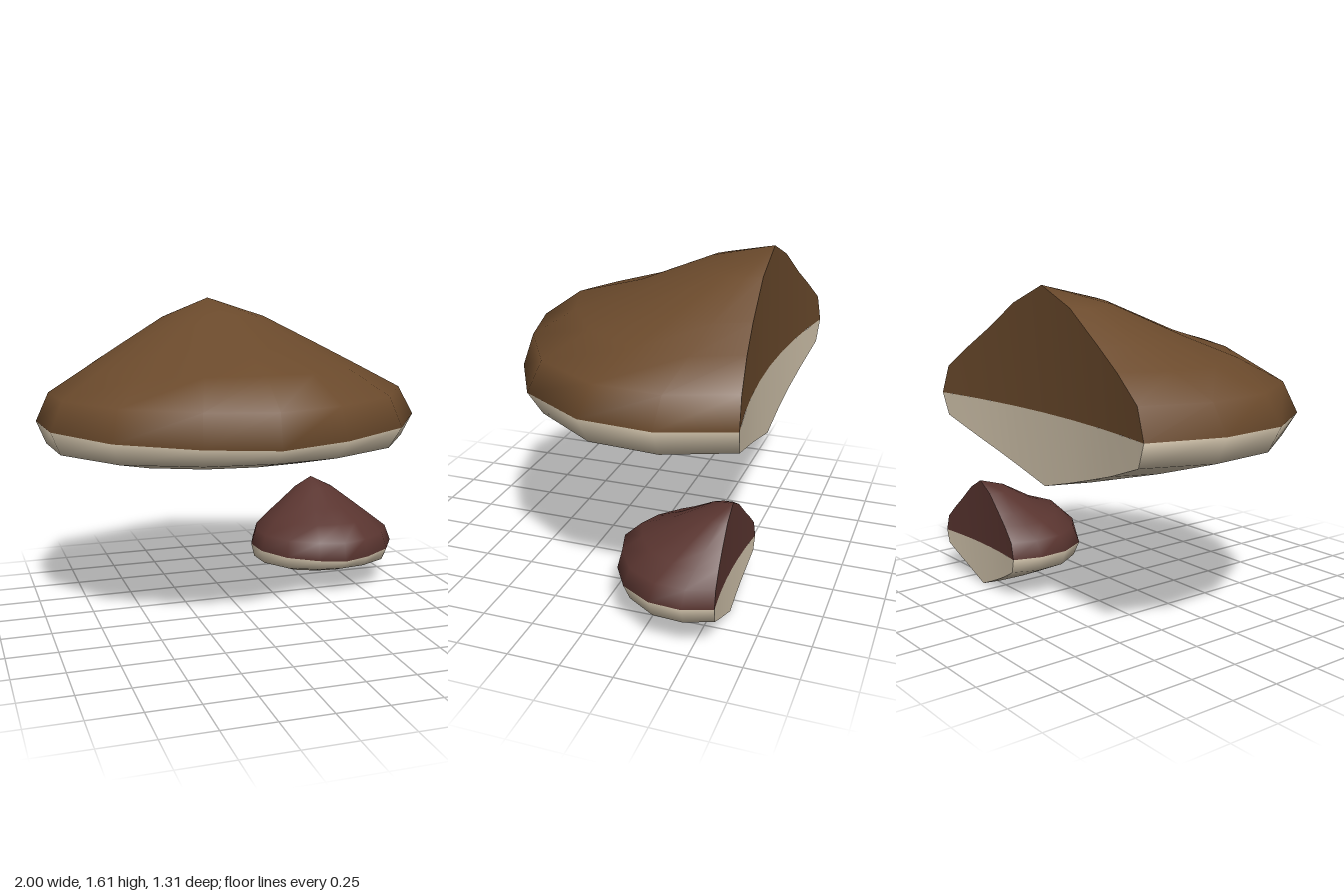
import * as THREE from 'three';

// Rim outline of one half: [x offset, z], from the back corner to the front tip
const HALF_RIM = [[0.85, -0.66], [0.978, -0.32], [0.95, 0.03], [0.72, 0.375], [0.35, 0.577], [0, 0.652]];
// Rows from crown to foot: [reach at side, height at side, reach at front, height at front]
const ROWS = [
  [0, 0.61, 0, 0.61],
  [0.28, 0.515, 0.25, 0.54],
  [0.55, 0.37, 0.54, 0.39],
  [0.73, 0.27, 0.81, 0.30],
  [0.93, 0.16, 0.97, 0.16],
  [1, 0.02, 1, -0.01],
  [0.95, -0.10, 0.92, -0.09],
  [0.66, -0.185, 0.70, -0.16],
  [0.46, -0.235, 0.47, -0.22],
  [0.28, -0.28, 0.23, -0.27],
  [0, -0.34, 0, -0.34],
];
const RIM = 5;
const BACK = -0.58;

function makeGeometry(positions, index, split) {
  const g = new THREE.BufferGeometry();
  g.setAttribute('position', new THREE.Float32BufferAttribute(positions, 3));
  g.setIndex(index);
  g.addGroup(0, split, 0);
  g.addGroup(split, index.length - split, 1);
  g.computeVertexNormals();
  return g;
}

// One shelf: a smooth half dome with a pale underside and a hollowed flat back
function makeShelf(name, { x, y, sx, up, down, sz, sag }, topMaterial, underMaterial) {
  const rim = [
    ...HALF_RIM.map(([rx, rz]) => [-rx, rz]),
    ...HALF_RIM.slice(0, -1).reverse(),
  ];
  const last = rim.length - 1;
  const point = (r, i) => {
    const [sideT, sideY, frontT, frontY] = ROWS[r];
    const [rx, rz] = rim[i];
    const front = THREE.MathUtils.clamp(1 - Math.abs(rx) / 0.978, 0, 1);
    const t = THREE.MathUtils.lerp(sideT, frontT, front);
    const h = THREE.MathUtils.lerp(sideY, frontY, front);
    const corner = i === 0 || i === last;
    const z = corner ? BACK - sag * t * t : BACK + t * (rz - BACK) * sz;
    return [x + rx * t * sx, y + h * (h > 0 ? up : down), z];
  };

  // Outer skin, crown and foot each a single shared vertex
  const pos = [];
  const id = (r, i) => (r === 0 ? 0 : r === ROWS.length - 1 ? 1 : 2 + (r - 1) * rim.length + i);
  pos.push(...point(0, 0), ...point(ROWS.length - 1, 0));
  for (let r = 1; r < ROWS.length - 1; r++) {
    for (let i = 0; i <= last; i++) pos.push(...point(r, i));
  }
  const index = [];
  let split = 0;
  for (let r = 0; r < ROWS.length - 1; r++) {
    if (r === RIM) split = index.length;
    for (let i = 0; i < last; i++) {
      const a = id(r, i), b = id(r, i + 1), c = id(r + 1, i), d = id(r + 1, i + 1);
      if (r < ROWS.length - 2) index.push(b, c, d);
      if (r > 0) index.push(a, c, b);
    }
  }
  const skin = new THREE.Mesh(makeGeometry(pos, index, split), [topMaterial, underMaterial]);
  skin.name = name + 'Cap';

  // Back wall, strips between the cap edge and the rim line
  const wallPos = [], wallIndex = [];
  const midY = point(RIM, 0)[1];
  const strip = (rows, upper) => {
    const edge = [
      ...rows.map((r) => point(r, 0)),
      ...rows.slice(0, -1).reverse().map((r) => point(r, last)),
    ];
    const base = wallPos.length / 3;
    edge.forEach(([px, py, pz]) => {
      const mid = [px, midY, pz], rimPoint = [px, py, pz];
      wallPos.push(...(upper ? rimPoint : mid), ...(upper ? mid : rimPoint));
    });
    for (let i = 0; i < edge.length - 1; i++) {
      const a = base + 2 * i;
      wallIndex.push(a, a + 2, a + 1, a + 1, a + 2, a + 3);
    }
  };
  strip([5, 4, 3, 2, 1, 0], true);
  const wallSplit = wallIndex.length;
  strip([5, 6, 7, 8, 9, 10], false);
  const wall = new THREE.Mesh(makeGeometry(wallPos, wallIndex, wallSplit), [topMaterial, underMaterial]);
  wall.name = name + 'Back';

  const group = new THREE.Group();
  group.name = name;
  group.add(skin, wall);
  return group;
}

export function createModel() {
  const material = (name, color) => {
    const m = new THREE.MeshStandardMaterial({ color });
    m.name = name;
    return m;
  };
  const brown = material('brown', 0x6b4a2c);
  const maroon = material('maroon', 0x5a3530);
  const cream = material('cream', 0xd2c4ac);

  const model = new THREE.Group();
  model.name = 'shelfFungus';
  model.add(
    makeShelf('largeShelf', { x: -0.022, y: 1, sx: 1, up: 1, down: 1, sz: 1, sag: 0.078 }, brown, cream),
    makeShelf('smallShelf', { x: 0.597, y: 0.215, sx: 0.411, up: 0.58, down: 0.63, sz: 0.44, sag: 0.022 }, maroon, cream),
  );
  return model;
}
